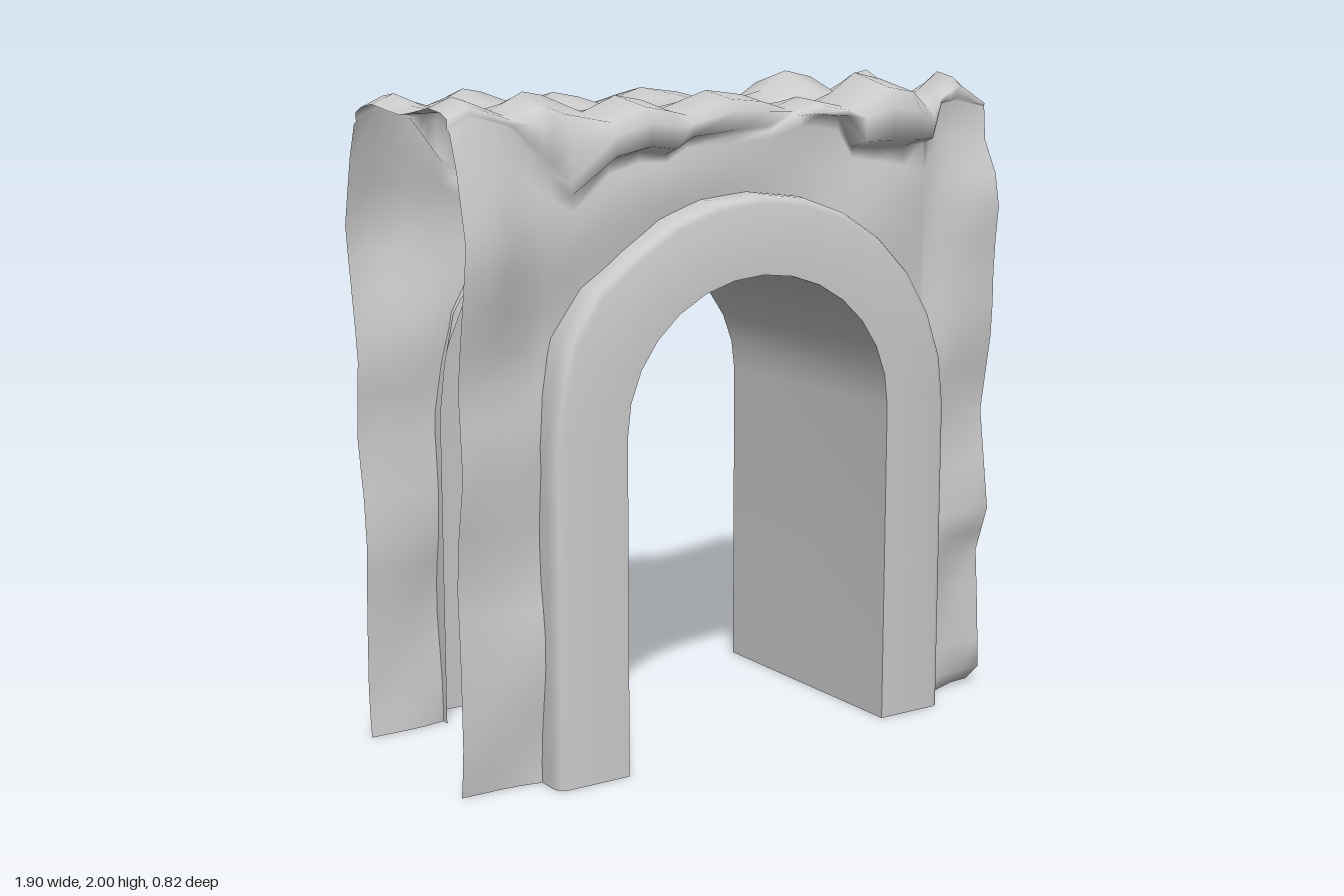
import * as THREE from 'three';
import { mergeVertices, toCreasedNormals } from 'three/addons/utils/BufferGeometryUtils.js';

const { lerp, clamp, smoothstep } = THREE.MathUtils;
const stone = new THREE.MeshStandardMaterial({ color: 0xcccccc, side: THREE.DoubleSide });

// Piecewise-linear lookup in rows sorted by their first entry
function sample(rows, x, k = 1) {
  let i = 0;
  while (i < rows.length - 2 && x > rows[i + 1][0]) i++;
  const a = rows[i], b = rows[i + 1];
  return lerp(a[k], b[k], clamp((x - a[0]) / (b[0] - a[0]), 0, 1));
}

// Triangles for a grid of lines, each a list of points
function pushSheet(pos, lines) {
  for (let i = 0; i < lines.length - 1; i++) {
    for (let j = 0; j < lines[i].length - 1; j++) {
      const a = lines[i][j], b = lines[i + 1][j], c = lines[i + 1][j + 1], d = lines[i][j + 1];
      pos.push(...a, ...b, ...c, ...a, ...c, ...d);
    }
  }
}

function toGeometry(pos) {
  const g = new THREE.BufferGeometry();
  g.setAttribute('position', new THREE.Float32BufferAttribute(pos, 3));
  return g;
}

// Rocky crown by column: x, crest height, lower edge of the ledge, overhang depth
const crown = [
  [-0.95, 1.92, 1.86, 0.29], [-0.88, 1.95, 1.9, 0.29], [-0.77, 1.905, 1.87, 0.31], [-0.66, 1.96, 1.74, 0.36],
  [-0.6, 1.95, 1.68, 0.345], [-0.47, 1.9, 1.77, 0.375], [-0.36, 1.945, 1.79, 0.38], [-0.27, 1.93, 1.78, 0.365],
  [-0.2, 1.905, 1.82, 0.345], [-0.05, 1.955, 1.83, 0.345], [0.08, 1.94, 1.84, 0.32], [0.2, 1.9, 1.88, 0.27],
  [0.28, 1.93, 1.88, 0.31], [0.36, 1.91, 1.87, 0.34], [0.41, 1.94, 1.78, 0.36], [0.5, 2.0, 1.775, 0.38],
  [0.6, 1.98, 1.775, 0.38], [0.68, 1.92, 1.785, 0.345], [0.75, 1.94, 1.9, 0.3], [0.83, 2.0, 1.91, 0.29],
  [0.95, 1.91, 1.89, 0.27],
];

// Depth of the rough wall by height at the right and left ends
const endPlus = [[0, 0.25], [0.06, 0.31], [0.25, 0.3], [0.45, 0.285], [0.6, 0.335], [0.92, 0.29],
  [1.2, 0.335], [1.42, 0.335], [1.6, 0.355], [1.68, 0.335], [1.78, 0.28], [1.9, 0.27]];
const endMinus = [[0, 0.3], [0.12, 0.315], [0.4, 0.31], [0.66, 0.295], [0.93, 0.345], [1.17, 0.325],
  [1.56, 0.385], [1.75, 0.345], [1.9, 0.29]];

function wallZ(x, y) {
  const mid = 0.325 + 0.015 * Math.sin(9 * x + 4 * y) + 0.013 * Math.sin(11 * y - 5 * x)
    - 0.025 * smoothstep(y, 1.65, 1.9);
  const end = sample(x > 0 ? endPlus : endMinus, y);
  const hollow = 0.045 * Math.exp(-(((x - 0.72) / 0.1) ** 2) - ((y - 1.6) / 0.18) ** 2);
  const bulge = 0.02 * Math.exp(-(((x + 0.86) / 0.07) ** 2) - ((y - 1.5) / 0.15) ** 2);
  return lerp(mid, end, smoothstep(Math.abs(x), 0.62, 0.93)) - hollow + bulge;
}

// Height where the wall meets the top of the arch trim
const pierX = 0.69;
const archBase = (x) => {
  const u = Math.min(Math.abs(x), pierX) / 0.695;
  return 0.98 + 0.675 * Math.sqrt(1 - u * u);
};

// Rough front wall and crown, from floor and arch over the ledge to the ridge line
function rockHalf() {
  const pos = [];
  const xs = [...crown.map((r) => r[0]), pierX, 0.72, 0.79, 0.88, -pierX, -0.72, -0.82].sort((a, b) => a - b);
  pushSheet(pos, xs.map((x) => {
    const H = sample(crown, x, 1), low = sample(crown, x, 2), out = sample(crown, x, 3);
    const base = archBase(x), line = [];
    for (let j = 0; j <= 8; j++) {
      const y = lerp(base, low, j / 8);
      line.push([x, y, wallZ(x, y)]);
    }
    const valley = 1.895 + 0.015 * Math.sin(7 * x + 1) * (1 - x * x);
    line.push(
      [x, lerp(low, H, 0.12), out],
      [x, lerp(low, H, 0.55), out + 0.002],
      [x, lerp(low, H, 0.82), out - 0.035],
      [x, H, 0.18],
      [x, lerp(valley, H, 0.4), 0.08],
      [x, valley, 0],
    );
    return line;
  }));

  // Pier faces below the spandrels, sharing the wall's columns
  const ys = [0, 0.06, 0.15, 0.25, 0.35, 0.45, 0.52, 0.6, 0.75, 0.92, archBase(pierX)];
  for (const side of [-1, 1]) {
    const px = xs.filter((x) => x * side >= pierX);
    pushSheet(pos, px.map((x) => ys.map((y) => [x, y, wallZ(x, y)])));
  }
  return toGeometry(pos);
}

// Front half plus its reflection with reversed corners, welded for smooth shading
function rockGeometry() {
  const front = [...rockHalf().attributes.position.array];
  const back = [];
  for (let i = 0; i < front.length; i += 9) {
    for (const k of [6, 3, 0]) back.push(front[i + k], front[i + k + 1], -front[i + k + 2]);
  }
  const g = mergeVertices(toGeometry([...front, ...back]), 1e-4);
  g.computeVertexNormals();
  return g;
}

// Arch path as pairs of inner and outer points, from one foot to the other
function archPath() {
  const path = [[[0.465, 0], [0.7, 0]]];
  const n = 14;
  for (let i = 0; i <= n; i++) {
    const a = (i / n) * Math.PI, c = Math.cos(a), q = Math.sin(a);
    const k = i === n - 2 || i === n - 3 ? 1.03 : 1; // uneven left haunch
    path.push([[0.465 * c, 1 + 0.43 * q], [0.7 * k * c, 0.98 + 0.685 * k * q]]);
  }
  path.push([[-0.465, 0], [-0.7, 0]]);
  return path;
}

// Trim section: blend from inner to outer edge, and depth
const section = [[1, 0.29], [1, 0.365], [0.985, 0.39], [0.95, 0.405], [0.88, 0.412], [0, 0.412]];

function archGeometry() {
  const full = [...section, ...section.map(([t, z]) => [t, -z]).reverse()];
  const pos = [];
  pushSheet(pos, archPath().map(([a, b]) =>
    full.map(([t, z]) => [lerp(a[0], b[0], t), lerp(a[1], b[1], t), z])));
  return toCreasedNormals(toGeometry(pos), 0.9);
}

export function createModel() {
  const group = new THREE.Group();
  group.name = 'stoneArchway';

  const rock = new THREE.Mesh(rockGeometry(), stone);
  rock.name = 'roughRockWallsAndTop';

  const arch = new THREE.Mesh(archGeometry(), stone);
  arch.name = 'archTrimAndTunnel';

  group.add(rock, arch);
  return group;
}
